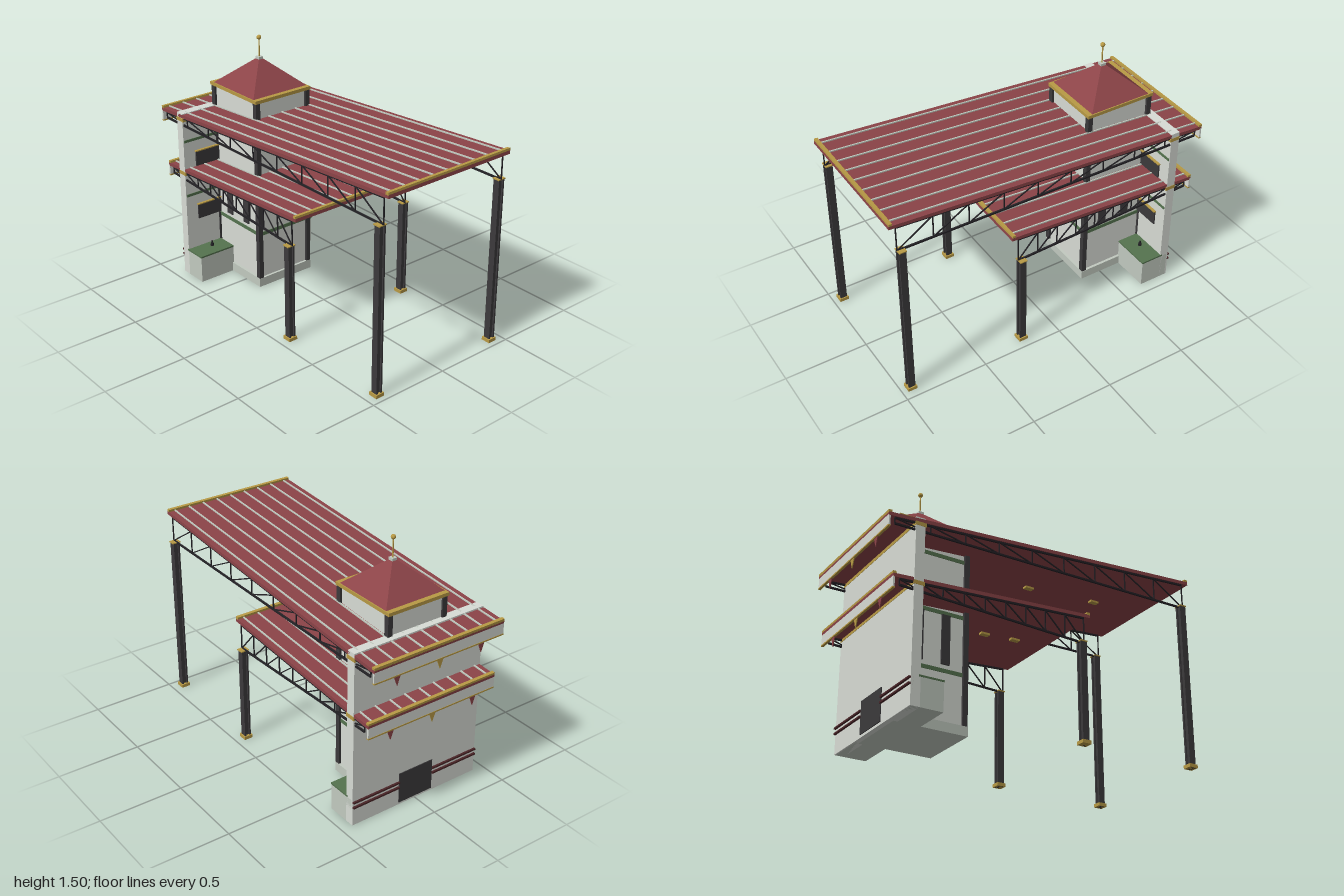
import * as THREE from 'three';

const paint = (color) => new THREE.MeshStandardMaterial({ color, flatShading: true });
const RED = paint(0x8c4448), GOLD = paint(0xb89a45), DARK = paint(0x3c3a3c), STEEL = paint(0x242226),
  GREEN = paint(0x55734f), WALL = paint(0xd8dcd5), BASE = paint(0xc2cac0), MAROON = paint(0x4a2427);

function add(parent, name, geometry, material, x = 0, y = 0, z = 0) {
  const mesh = new THREE.Mesh(geometry, material);
  mesh.name = name;
  mesh.position.set(x, y, z);
  parent.add(mesh);
  return mesh;
}

// Box given by its limits on each axis
function block(parent, name, material, [x0, x1], [y0, y1], [z0, z1]) {
  return add(parent, name, new THREE.BoxGeometry(x1 - x0, y1 - y0, z1 - z0), material,
    (x0 + x1) / 2, (y0 + y1) / 2, (z0 + z1) / 2);
}

// Square bar between two (y, z) points in the plane at x
function bar(parent, name, x, [y0, z0], [y1, z1], t) {
  const m = add(parent, name, new THREE.BoxGeometry(t, t, Math.hypot(y1 - y0, z1 - z0)), STEEL,
    x, (y0 + y1) / 2, (z0 + z1) / 2);
  m.rotation.x = -Math.atan2(y1 - y0, z1 - z0);
}

// Sloped roof with ribs, eave trims, trusses, columns, lamps and a back valance
function canopy(o) {
  const g = new THREE.Group();
  g.name = o.name;
  const { zf, zb, yf, yb, half } = o;
  const top = (z) => yb + ((yf - yb) * (z - zb)) / (zf - zb);
  const length = Math.hypot(zf - zb, yf - yb);

  const roof = new THREE.Group();
  roof.name = 'slopedRoof';
  roof.position.set(0, (yf + yb) / 2, (zf + zb) / 2);
  roof.rotation.x = -Math.atan2(yf - yb, zf - zb);
  g.add(roof);
  block(roof, 'roofSheet', RED, [-half, half], [-0.02, 0], [-length / 2, length / 2]);
  for (let i = -4; i <= 4; i++) {
    add(roof, 'roofRib', new THREE.BoxGeometry(0.008, 0.008, length - 0.02), BASE, i * 0.0975, 0.003, 0);
  }
  for (const s of [-1, 1]) {
    add(roof, 'eaveTrim', new THREE.BoxGeometry(2 * half, 0.016, 0.02), GOLD, 0, 0.005, s * (length / 2 - 0.01));
  }

  for (const s of [-1, 1]) {
    // Truss along the side
    const x = s * 0.42, n = o.bays, zEnd = zb + 0.04;
    const at = (i) => o.zt + ((zEnd - o.zt) * i) / n;
    const low = (i) => o.low0 + ((o.low1 - o.low0) * i) / n;
    const high = (i) => top(at(i)) - 0.025;
    bar(g, 'bottomChord', x, [low(0), at(0)], [low(n), at(n)], 0.01);
    bar(g, 'topChord', x, [high(0), at(0)], [high(n), at(n)], 0.01);
    for (let i = 0; i <= n; i++) {
      bar(g, 'trussPost', x, [low(i), at(i)], [high(i), at(i)], 0.006);
      if (i < n) bar(g, 'trussDiagonal', x, [low(i), at(i)], [high(i + 1), at(i + 1)], 0.006);
    }
    // H-section column on a plate
    const h = o.low0, cx = s * 0.425, cz = o.zc;
    for (const k of [-1, 1]) {
      add(g, 'columnFlange', new THREE.BoxGeometry(0.01, h, 0.04), DARK, cx + k * 0.015, h / 2, cz);
    }
    add(g, 'columnWeb', new THREE.BoxGeometry(0.03, h, 0.022), DARK, cx, h / 2, cz);
    add(g, 'columnFoot', new THREE.BoxGeometry(0.055, 0.02, 0.055), GOLD, cx, 0.01, cz);
    add(g, 'columnCap', new THREE.BoxGeometry(0.052, 0.006, 0.045), GOLD, cx, h, cz);
  }

  for (const z of o.lamps) {
    add(g, 'ceilingLamp', new THREE.BoxGeometry(0.03, 0.012, 0.055), GOLD, 0, top(z) - 0.028, z);
  }

  // Valance with hanging pennants
  const vz = zb + 0.006;
  block(g, 'valance', WALL, [-half, half], [yb - 0.075, yb - 0.012], [vz - 0.005, vz + 0.005]);
  block(g, 'valanceTrim', GOLD, [-half, half], [yb - 0.083, yb - 0.075], [vz - 0.007, vz + 0.007]);
  for (const i of [-1, 0, 1]) {
    const p = new THREE.Shape([[-0.022, 0], [0, -0.06], [0.022, 0]].map((c) => new THREE.Vector2(...c)));
    add(g, 'pennant', new THREE.ExtrudeGeometry(p, { depth: 0.005, bevelEnabled: false }),
      i ? RED : GOLD, i * 0.28, yb - 0.08, vz - 0.0025);
  }
  return g;
}

function tower() {
  const g = new THREE.Group();
  g.name = 'tower';
  const zc = -0.585;
  block(g, 'towerBase', BASE, [-0.198, 0.198], [0, 0.055], [-0.8, -0.365]);
  block(g, 'towerBody', WALL, [-0.182, 0.182], [0.05, 1.19], [-0.79, -0.38]);
  for (const y of [0.345, 0.68, 1.02]) {
    block(g, 'greenBand', GREEN, [-0.186, 0.186], [y - 0.011, y + 0.011], [-0.794, -0.376]);
  }
  for (const s of [-1, 1]) {
    for (const z of [-0.381, -0.786]) {
      add(g, 'cornerPost', new THREE.BoxGeometry(0.03, 1.135, 0.03), DARK, s * 0.181, 0.6225, z);
    }
    for (const z of [-0.503, -0.665]) {
      add(g, 'sideWindow', new THREE.BoxGeometry(0.012, 0.29, 0.052), DARK, s * 0.184, 0.525, z);
    }
  }
  // Pyramid roof with finial
  block(g, 'roofFrame', GOLD, [-0.2, 0.2], [1.183, 1.203], [zc - 0.223, zc + 0.223]);
  const pyramid = new THREE.CylinderGeometry(0.012 * Math.SQRT2, 0.195 * Math.SQRT2, 0.16, 4).rotateY(Math.PI / 4);
  add(g, 'pyramidRoof', pyramid, RED, 0, 1.282, zc);
  add(g, 'finialBlock', new THREE.BoxGeometry(0.032, 0.02, 0.032), BASE, 0, 1.363, zc);
  add(g, 'finialRod', new THREE.CylinderGeometry(0.004, 0.004, 0.11, 8), GOLD, 0, 1.425, zc);
  add(g, 'finialBall', new THREE.SphereGeometry(0.014, 12, 8), GOLD, 0, 1.488, zc);
  return g;
}

function backWall() {
  const g = new THREE.Group();
  g.name = 'backWall';
  block(g, 'wallSlab', WALL, [-0.43, 0.43], [0, 1.06], [-0.83, -0.775]);
  for (const y of [0.53, 0.883]) {
    block(g, 'wallBand', GREEN, [-0.425, 0.425], [y - 0.008, y + 0.008], [-0.8, -0.771]);
  }
  for (const y of [0.677, 1.022]) {
    block(g, 'goldBand', GOLD, [-0.432, 0.432], [y - 0.011, y + 0.011], [-0.832, -0.768]);
  }
  block(g, 'backDoor', DARK, [-0.115, 0.115], [0.015, 0.205], [-0.835, -0.82]);
  for (const s of [-1, 1]) {
    const span = (a, b) => (s > 0 ? [a, b] : [-b, -a]);
    block(g, 'planter', BASE, span(0.19, 0.43), [0, 0.162], [-0.82, -0.642]);
    block(g, 'planterTop', GREEN, span(0.19, 0.432), [0.162, 0.172], [-0.785, -0.64]);
    for (const y of [0.36, 0.71]) {
      block(g, 'wallWindow', DARK, span(0.18, 0.35), [y, y + 0.095], [-0.79, -0.767]);
      block(g, 'windowLintel', GOLD, span(0.18, 0.355), [y + 0.093, y + 0.1], [-0.79, -0.76]);
    }
    for (const y of [0.118, 0.15]) {
      block(g, 'guardRail', MAROON, span(0.115, 0.43), [y - 0.005, y + 0.005], [-0.842, -0.828]);
    }
    // Small lantern on the planter
    add(g, 'lanternBody', new THREE.CylinderGeometry(0.009, 0.011, 0.02, 8), STEEL, s * 0.29, 0.182, -0.725);
    add(g, 'lanternTop', new THREE.CylinderGeometry(0.004, 0.006, 0.014, 8), STEEL, s * 0.29, 0.199, -0.725);
  }
  return g;
}

export function createModel() {
  const model = new THREE.Group();
  model.name = 'canopyStation';
  model.add(
    canopy({ name: 'upperCanopy', zf: 1, zb: -0.99, yf: 1.18, yb: 1.04, half: 0.43, zt: 0.96, zc: 0.94,
      low0: 1.0, low1: 0.985, bays: 9, lamps: [0.62, 0.15, -0.3] }),
    canopy({ name: 'lowerCanopy', zf: 0.275, zb: -0.95, yf: 0.775, yb: 0.695, half: 0.428, zt: 0.235, zc: 0.215,
      low0: 0.595, low1: 0.64, bays: 9, lamps: [0.05, -0.15] }),
    tower(),
    backWall(),
  );
  return model;
}
